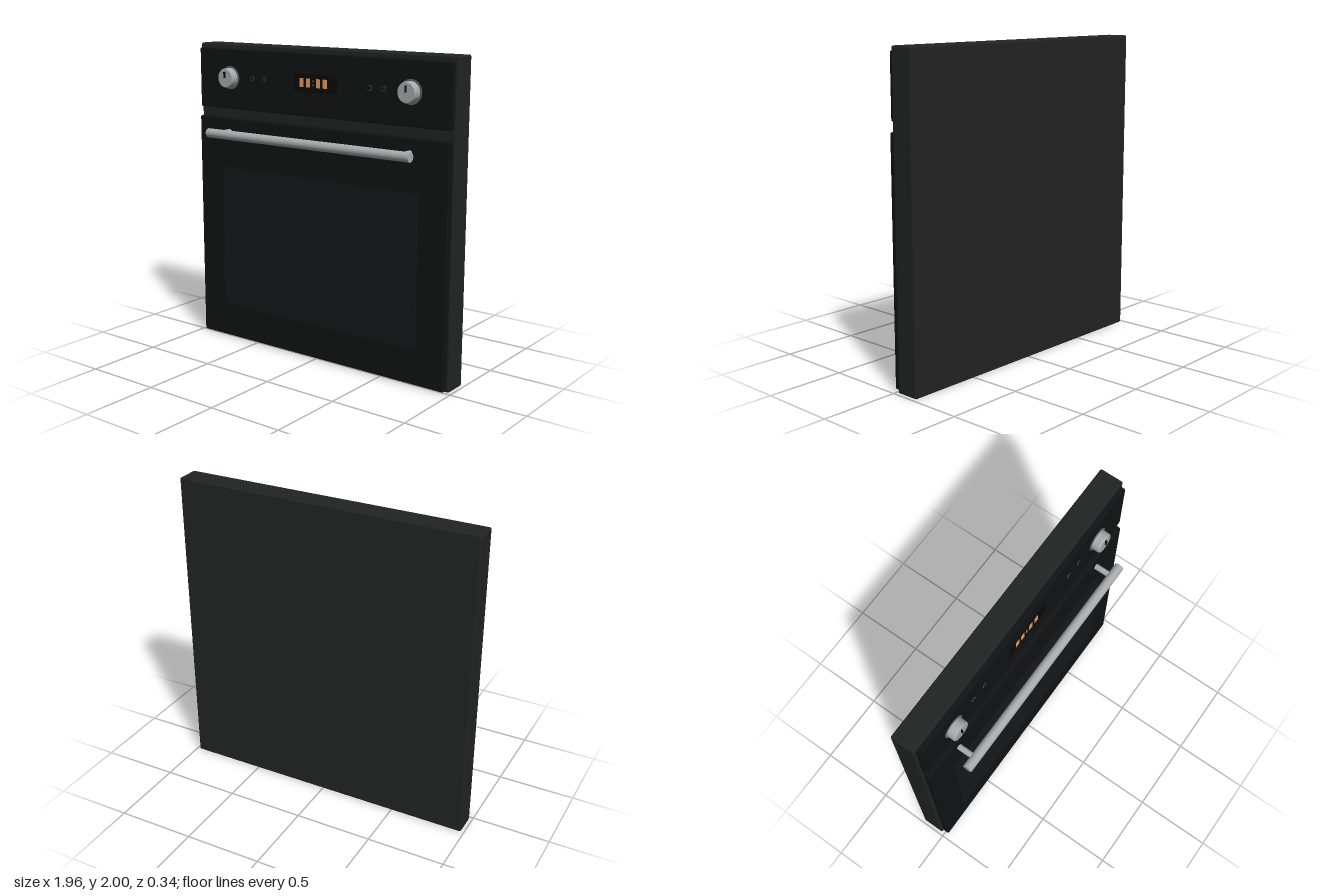
import * as THREE from 'three';
import { RoundedBoxGeometry } from 'three/addons/geometries/RoundedBoxGeometry.js';

export function createModel() {
  const oven = new THREE.Group();
  oven.name = 'oven';
  const paint = (color) => new THREE.MeshStandardMaterial({ color });
  const casing = paint(0x222323), black = paint(0x111213), glass = paint(0x14191c);
  const steel = paint(0xa8abad), trim = paint(0x606466), dark = paint(0x0a0a0a), amber = paint(0xe8a060);

  const add = (name, geometry, material, x, y, z, parent = oven) => {
    const mesh = new THREE.Mesh(geometry, material);
    mesh.name = name;
    mesh.position.set(x, y, z);
    parent.add(mesh);
    return mesh;
  };
  // Box given by its extents, optionally with rounded edges
  const slab = (name, material, [x0, x1], [y0, y1], [z0, z1], radius = 0) => {
    const size = [x1 - x0, y1 - y0, z1 - z0];
    const geometry = radius ? new RoundedBoxGeometry(...size, 3, radius) : new THREE.BoxGeometry(...size);
    return add(name, geometry, material, (x0 + x1) / 2, (y0 + y1) / 2, (z0 + z1) / 2);
  };
  // Solid of revolution along z from [radius, z] points; doubled points keep edges sharp
  const turned = (points) => {
    const profile = points.flatMap(([r, z]) => [new THREE.Vector2(r, z), new THREE.Vector2(r, z)]);
    return new THREE.LatheGeometry(profile, 40).rotateX(Math.PI / 2).scale(1, 1, 1);
  };

  // Casing, control panel, door and window
  slab('casing', casing, [-0.98, 0.98], [0, 2], [-0.17, -0.018], 0.01);
  slab('controlPanel', black, [-0.965, 0.965], [1.58, 1.97], [-0.02, 0.012], 0.008);
  slab('door', black, [-0.965, 0.965], [0.01, 1.52], [-0.02, 0.025], 0.012);
  slab('doorWindow', glass, [-0.765, 0.765], [0.24, 1.19], [0.01, 0.029]);

  // Handle bar on two posts
  add('handleBar', new THREE.CylinderGeometry(0.03, 0.03, 1.56, 32).rotateZ(Math.PI / 2), steel, 0, 1.43, 0.143);
  for (const x of [-0.7, 0.7]) {
    add('handlePost', new THREE.CylinderGeometry(0.018, 0.018, 0.125, 24).rotateX(Math.PI / 2), steel, x, 1.43, 0.08);
  }

  // Knobs with a base ring and pointer
  for (const x of [-0.697, 0.693]) {
    const knob = new THREE.Group();
    knob.name = 'knob';
    knob.position.set(x, 1.785, 0.01);
    oven.add(knob);
    add('knobRing', turned([[0, 0], [0.075, 0], [0.075, 0.006], [0, 0.006]]), trim, 0, 0, 0, knob);
    add('knobBody', turned([[0, 0], [0.063, 0], [0.063, 0.05], [0.058, 0.058], [0, 0.058]]), steel, 0, 0, 0, knob);
    add('knobPointer', new THREE.BoxGeometry(0.009, 0.04, 0.012), dark, 0, 0.022, 0.062, knob);
  }

  // Small round buttons with a thin rim
  for (const x of [-0.51, -0.41, 0.405, 0.505]) {
    add('button', new THREE.CylinderGeometry(0.014, 0.014, 0.006, 24).rotateX(Math.PI / 2), black, x, 1.79, 0.012);
    add('buttonRim', new THREE.TorusGeometry(0.015, 0.002, 8, 28), trim, x, 1.79, 0.013);
  }

  // Clock display: four digit blocks and a colon
  slab('display', dark, [-0.172, 0.168], [1.732, 1.847], [0.005, 0.015], 0.004);
  for (const x of [-0.104, -0.053, 0.024, 0.075]) {
    add('displayDigit', new THREE.BoxGeometry(0.031, 0.055, 0.004), amber, x, 1.79, 0.0155);
  }
  for (const y of [1.778, 1.802]) {
    add('displayColon', new THREE.BoxGeometry(0.009, 0.009, 0.004), amber, -0.015, y, 0.0155);
  }
  return oven;
}
